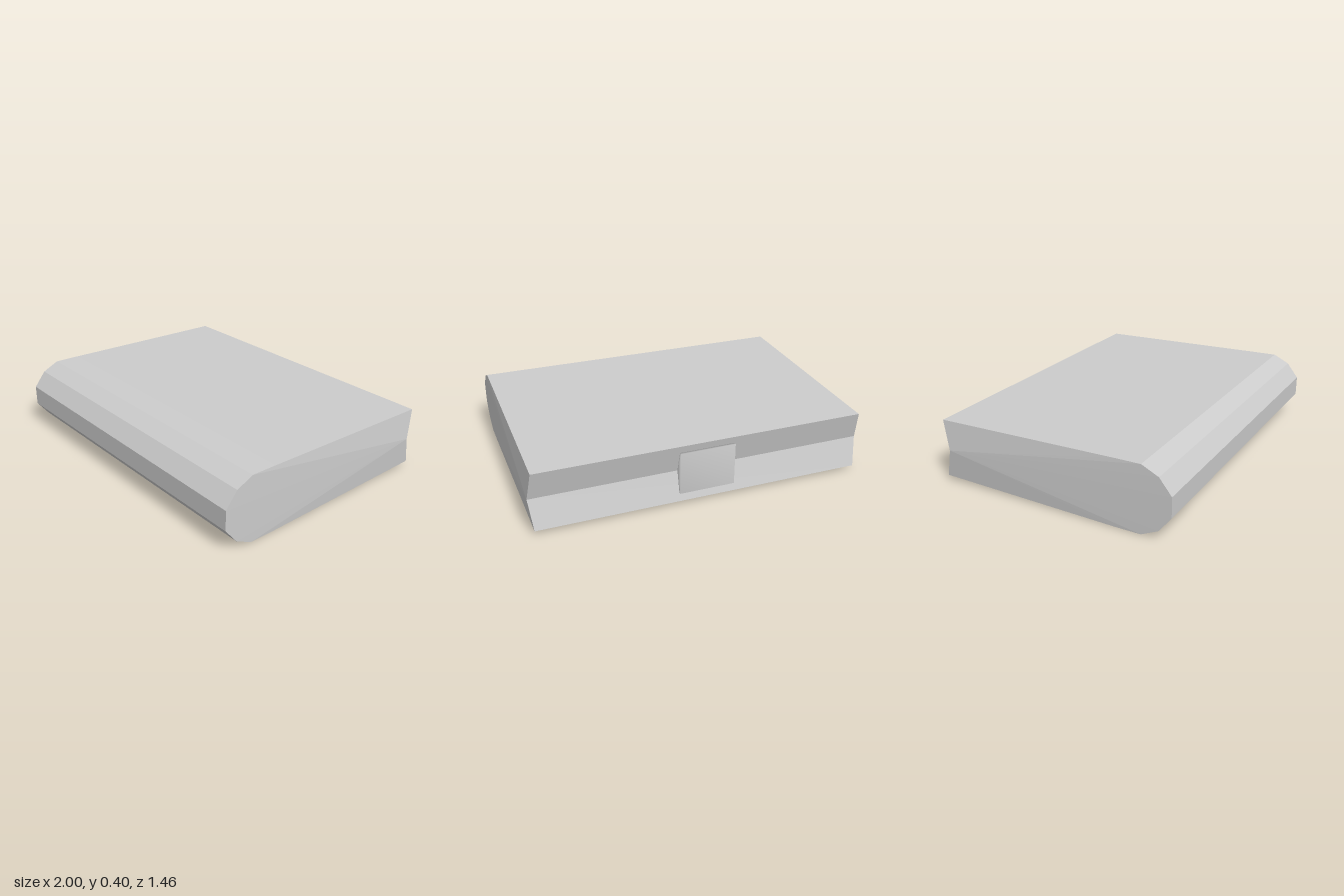
import * as THREE from 'three';

// Joins two mirrored end sections into a solid. Points are [z, y, halfWidth],
// running clockwise as seen from +x; the first point is the fan centre of each end.
function prism(section, centreX = 0) {
  const n = section.length;
  const positions = [];
  for (const side of [1, -1]) {
    for (const [z, y, w] of section) positions.push(centreX + side * w, y, z);
  }
  const index = [];
  for (let i = 0; i < n; i++) {
    const j = (i + 1) % n;
    index.push(i, j, n + j, i, n + j, n + i);
    if (i > 0 && j > 0) index.push(0, j, i, n, n + i, n + j);
  }
  const geometry = new THREE.BufferGeometry();
  geometry.setAttribute('position', new THREE.Float32BufferAttribute(positions, 3));
  geometry.setIndex(index);
  geometry.computeVertexNormals();
  return geometry;
}

export function createModel() {
  const model = new THREE.Group();
  model.name = 'roundedSlab';

  const grey = new THREE.MeshStandardMaterial({ color: 0xcccccc });
  grey.name = 'light grey';

  // Body: rounded front, slight taper, V groove along the back
  const bodyGeometry = prism([
    [-0.68, 0.2, 1.0],
    [-0.727, 0.025, 0.98],
    [0.4, 0.0, 0.987],
    [0.555, 0.0, 0.988],
    [0.655, 0.048, 0.988],
    [0.728, 0.14, 0.988],
    [0.728, 0.26, 0.988],
    [0.655, 0.352, 0.988],
    [0.555, 0.4, 0.988],
    [0.4, 0.398, 0.987],
    [-0.727, 0.375, 0.98],
  ]).toNonIndexed();
  bodyGeometry.computeVertexNormals();
  const body = new THREE.Mesh(bodyGeometry, grey);
  body.name = 'body';
  model.add(body);

  // Small block seated in the back groove, with soft shared normals
  const block = new THREE.Mesh(prism([
    [-0.68, 0.2, 0.165],
    [-0.714, 0.33, 0.165],
    [-0.73, 0.33, 0.165],
    [-0.73, 0.075, 0.165],
    [-0.714, 0.075, 0.165],
  ], -0.015), grey);
  block.name = 'backBlock';
  model.add(block);

  return model;
}
